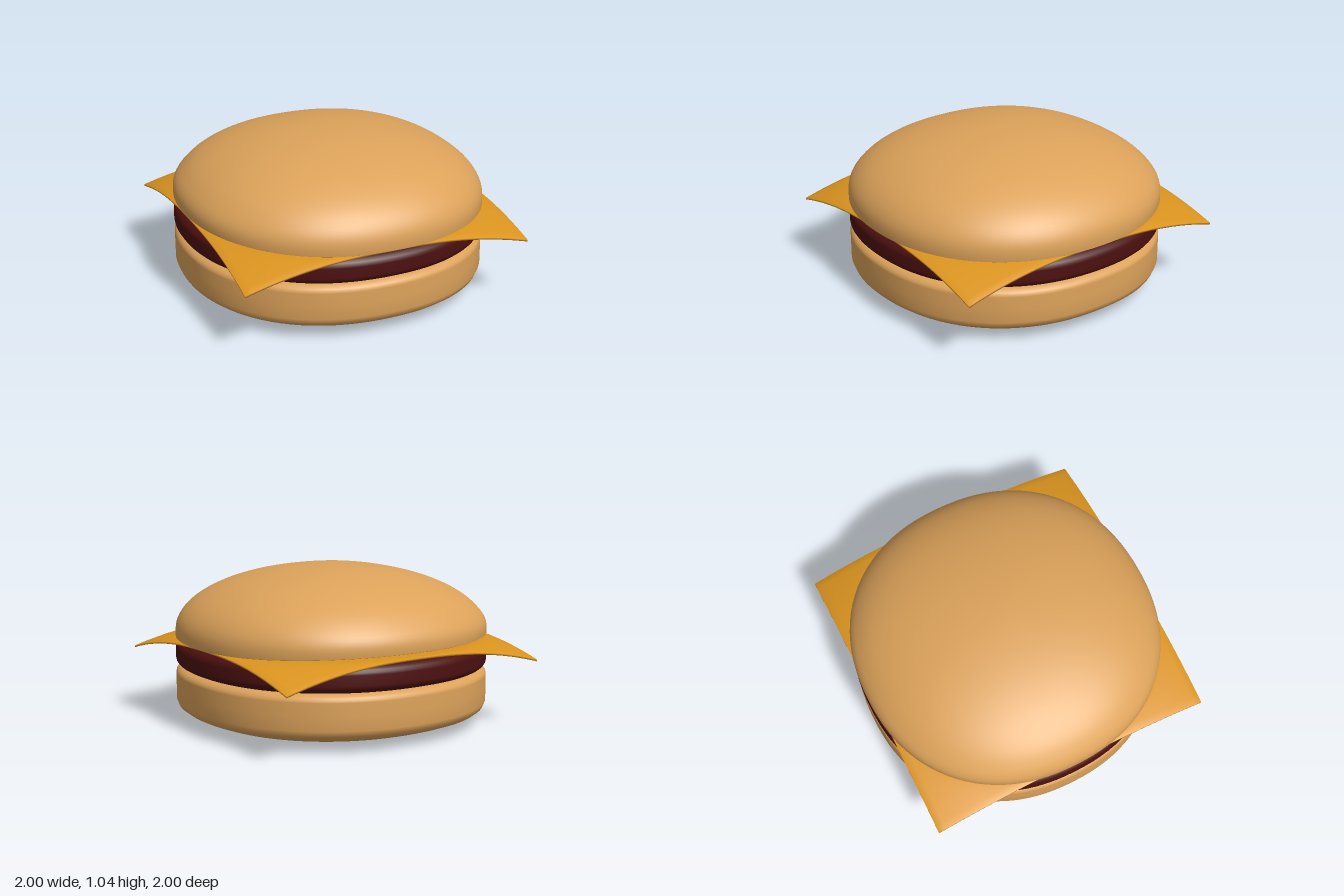
import * as THREE from 'three';
import { mergeVertices } from 'three/addons/utils/BufferGeometryUtils.js';

const POWER = 2.2; // slightly squarish round outline
const outlineRadius = (x, z) =>
  (Math.abs(x) ** POWER + Math.abs(z) ** POWER) ** (1 / POWER);

// Move every vertex by a rule, then weld and smooth
function reshape(geometry, rule) {
  const p = geometry.attributes.position;
  const v = new THREE.Vector3();
  for (let i = 0; i < p.count; i++) {
    v.fromBufferAttribute(p, i);
    rule(v);
    p.setXYZ(i, v.x, v.y, v.z);
  }
  geometry.deleteAttribute('uv');
  geometry.deleteAttribute('normal');
  const welded = mergeVertices(geometry, 1e-5);
  welded.computeVertexNormals();
  return welded;
}

// Round slab turned from a profile of [radius, height] points, bottom to top
function roundSlab(profile, rule = () => {}) {
  const points = profile.map(([r, y]) => new THREE.Vector2(r, y));
  return reshape(new THREE.LatheGeometry(points, 96), (v) => {
    const r = Math.hypot(v.x, v.z);
    if (r > 1e-6) {
      const k = r / outlineRadius(v.x, v.z);
      v.x *= k;
      v.z *= k;
    }
    rule(v);
  });
}

// Quarter ellipse of profile points; start and end are angles in quarter turns
function arc(cx, cy, rx, ry, start, end, steps) {
  return Array.from({ length: steps + 1 }, (_, i) => {
    const a = (start + ((end - start) * i) / steps) * Math.PI / 2;
    return [Math.max(0, cx + rx * Math.cos(a)), cy + ry * Math.sin(a)];
  });
}

export function createModel() {
  const group = new THREE.Group();
  const add = (name, geometry, color) => {
    const mesh = new THREE.Mesh(geometry, new THREE.MeshStandardMaterial({ color }));
    mesh.name = name;
    group.add(mesh);
  };
  const bunColor = 0xdca25a;

  // Bottom bun: gently domed underside, straight wall, softly rounded top edge
  add('bottomBun', roundSlab([
    [0, 0], [0.4, 0.007], [0.65, 0.022], [0.8, 0.042], [0.89, 0.062],
    [0.95, 0.085], [0.985, 0.112], [1, 0.15], [1, 0.24],
    ...arc(0.93, 0.325, 0.07, 0.05, 0, 1, 6),
    [0.9, 0.375], [0, 0.375],
  ]), bunColor);

  // Patty: disc with rounded rims
  add('patty', roundSlab([
    [0, 0.368], [0.88, 0.368],
    ...arc(0.92, 0.425, 0.08, 0.055, -1, 0, 6),
    ...arc(0.92, 0.49, 0.08, 0.058, 0, 1, 6),
    [0.88, 0.548], [0, 0.548],
  ]), 0x4c1010);

  // Cheese: thin square sheet whose corners sag beyond the patty
  const sheet = new THREE.BoxGeometry(1.93, 0.012, 1.93, 40, 1, 40).toNonIndexed();
  const cheese = reshape(sheet, (v) => {
    const over = Math.max(0, outlineRadius(v.x, v.z) - 0.95) / 0.372;
    v.y += 0.554 - 0.12 * over ** 1.3;
  });
  add('cheeseSlice', cheese, 0xdb941f);

  // Top bun: elliptical dome, lower rim lifted a little towards the back right
  add('topBun', roundSlab([
    [0, 0.562], [0.5, 0.562], [0.8, 0.562], [0.97, 0.562], [0.995, 0.562], [1, 0.565],
    ...arc(0, 0.61, 1, 0.43, 0, 1, 28),
  ], (v) => {
    const fade = Math.max(0, 1 - (v.y - 0.56) / 0.2);
    v.y += 0.035 * fade * (Math.min(0, v.x) ** 2 + Math.min(0, v.z) ** 2);
  }), bunColor);

  return group;
}
